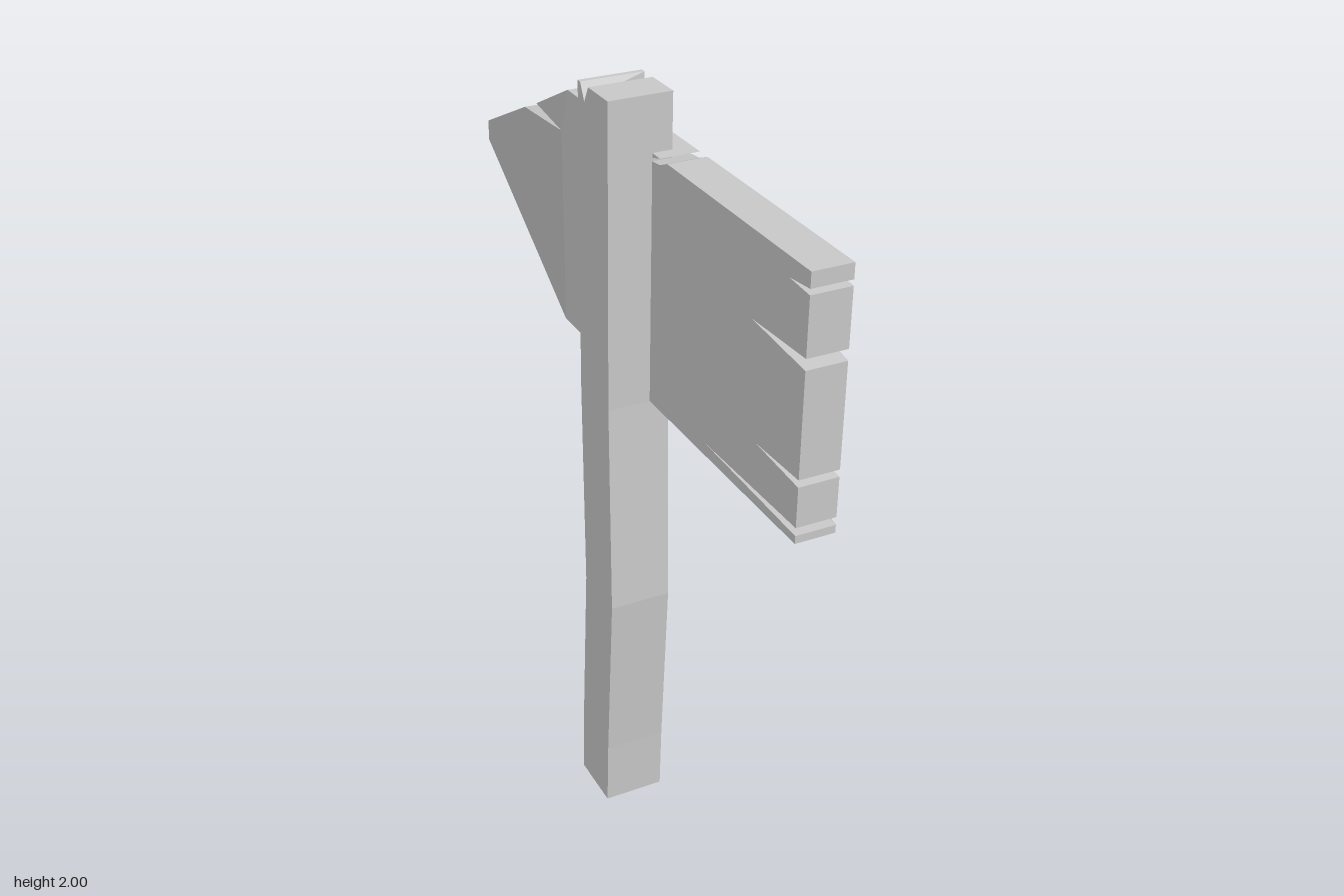
import * as THREE from 'three';

const material = new THREE.MeshStandardMaterial({ color: 0xcccccc, flatShading: true });

function addMesh(group, name, geometry) {
  const mesh = new THREE.Mesh(geometry, material);
  mesh.name = name;
  group.add(mesh);
}

// Side outline given as [z, y] points, extruded along x from x0 to x1
// move(v) may then shift each vertex by a rule
function slab(outline, x0, x1, move) {
  const shape = new THREE.Shape(outline.map(([z, y]) => new THREE.Vector2(-z, y)));
  const geometry = new THREE.ExtrudeGeometry(shape, { depth: x1 - x0, bevelEnabled: false });
  geometry.rotateY(Math.PI / 2).translate(x0, 0, 0);
  if (move) {
    const p = geometry.attributes.position;
    const v = new THREE.Vector3();
    for (let i = 0; i < p.count; i++) {
      move(v.fromBufferAttribute(p, i));
      p.setXYZ(i, v.x, v.y, v.z);
    }
    geometry.computeVertexNormals();
  }
  return geometry;
}

// Raised wood splinter: fan from a ring of [z, y] points on the board face to an apex
function splinter(ring, apex, faceX) {
  const positions = [];
  ring.forEach(([z, y], i) => {
    const [nz, ny] = ring[(i + 1) % ring.length];
    positions.push(faceX, y, z, faceX, ny, nz, ...apex);
  });
  const geometry = new THREE.BufferGeometry();
  geometry.setAttribute('position', new THREE.Float32BufferAttribute(positions, 3));
  geometry.computeVertexNormals();
  return geometry;
}

export function createModel() {
  const group = new THREE.Group();

  // Bent post, cracked at both ends; the cracks get shallower towards -x
  const topCrack = 1.78, bottomCrack = 0.14;
  addMesh(group, 'post', slab([
    [0.185, 0], [0.19, 0.18], [0.215, 0.66], [0.197, 1.23], [0.197, 2],
    [0.097, 2], [0.076, topCrack], [0.055, 2], [0.042, 2],
    [0.042, 1.23], [0.06, 0.66], [0.035, 0.18], [0.03, 0],
    [0.037, 0], [0.053, bottomCrack], [0.07, 0],
  ], -0.12, 0.04, (v) => {
    if (v.x > -0.1) return;
    if (Math.abs(v.y - topCrack) < 1e-4) v.y = 1.96;
    if (Math.abs(v.y - bottomCrack) < 1e-4) v.y = 0.002;
  }));

  // Board body with split end grain and nicks in the top edge
  const faceX = 0.09, backX = -0.01;
  addMesh(group, 'board', slab([
    [0.88, 1.23], [0.88, 1.25], [0.47, 1.262], [0.88, 1.27],
    [0.88, 1.37], [0.7, 1.382], [0.88, 1.388],
    [0.88, 1.645], [0.66, 1.663], [0.88, 1.672],
    [0.88, 1.812], [0.8, 1.817], [0.88, 1.826], [0.88, 1.863],
    [0.27, 1.863], [0.235, 1.848], [0.15, 1.838], [0.235, 1.863],
    [-0.115, 1.863], [-0.18, 1.845], [-0.15, 1.863],
    [-0.26, 1.863], [-0.3, 1.745], [-0.29, 1.23],
  ], backX, faceX));

  // Arrow tip and broken shard, thinning towards the point
  const taper = (v) => {
    const t = Math.max(0, (-0.3 - v.z) / 0.58);
    v.x = 0.04 + (v.x - 0.04) * (1 - 0.7 * t);
  };
  addMesh(group, 'arrowTip', slab([
    [-0.29, 1.23], [-0.3, 1.745], [-0.57, 1.715], [-0.88, 1.57], [-0.88, 1.515],
  ], backX, faceX, taper));
  addMesh(group, 'brokenShard', slab([
    [-0.26, 1.863], [-0.48, 1.755], [-0.3, 1.745],
  ], backX, faceX, taper));

  // Lifted wood along the long crack, and small lips at the end splits
  addMesh(group, 'liftedGrain', splinter([
    [0.81, 1.71], [0.67, 1.668], [0.66, 1.66], [0.88, 1.645], [0.88, 1.39],
    [0.7, 1.382], [0.47, 1.264], [0.05, 1.25], [-0.01, 1.36], [0.63, 1.665],
  ], [0.115, 1.66, 0.63], faceX));
  for (const [name, y] of [['upperSplitLip', 1.818], ['lowerSplitLip', 1.241]]) {
    addMesh(group, name, splinter([
      [0.88, y + 0.01], [0.88, y - 0.008], [0.72, y - 0.006], [0.72, y + 0.006],
    ], [0.108, y, 0.79], faceX));
  }

  return group;
}
